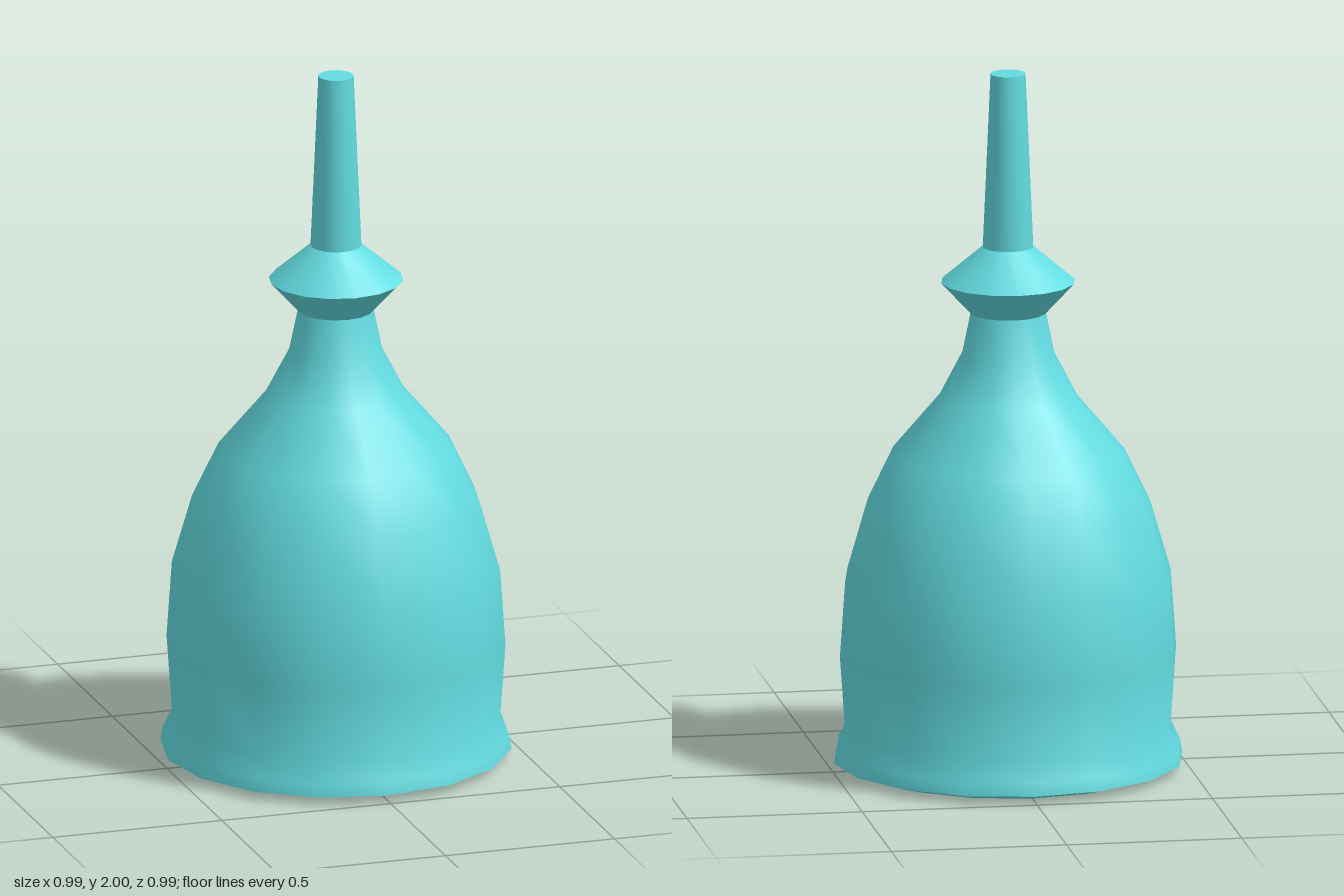
import * as THREE from 'three';
import { toCreasedNormals } from 'three/addons/utils/BufferGeometryUtils.js';

const SIDES = 16;

export function createModel() {
  const group = new THREE.Group();
  group.name = 'handBell';
  const material = new THREE.MeshStandardMaterial({ color: 0x62dbe0 });

  // Turns a list of [radius, height] pairs into a named, creased solid
  const turn = (name, profile) => {
    const points = profile.map(([r, y]) => new THREE.Vector2(r, y));
    const geometry = toCreasedNormals(new THREE.LatheGeometry(points, SIDES), 0.7);
    const mesh = new THREE.Mesh(geometry, material);
    mesh.name = name;
    mesh.rotation.y = -0.01;
    group.add(mesh);
  };

  // Thick-walled hollow bell: down the inside, round the lip, up the outside
  turn('bell', [
    [0, 1.33], [0.03, 1.33], [0.055, 1.165], [0.13, 1.02], [0.264, 0.861],
    [0.33, 0.721], [0.385, 0.536], [0.399, 0.33], [0.387, 0.1], [0.41, 0.04],
    [0.417, 0], [0.496, 0.023], [0.49, 0.06], [0.464, 0.115], [0.479, 0.33],
    [0.464, 0.55], [0.406, 0.75], [0.332, 0.905], [0.197, 1.065],
    [0.132, 1.19], [0.107, 1.31],
  ]);

  // Flared collar between bell and handle
  turn('collar', [[0.107, 1.31], [0.19, 1.4], [0.072, 1.5]]);

  // Tapered handle with a flat top
  turn('handle', [[0.072, 1.5], [0.05, 2], [0, 2]]);

  return group;
}
